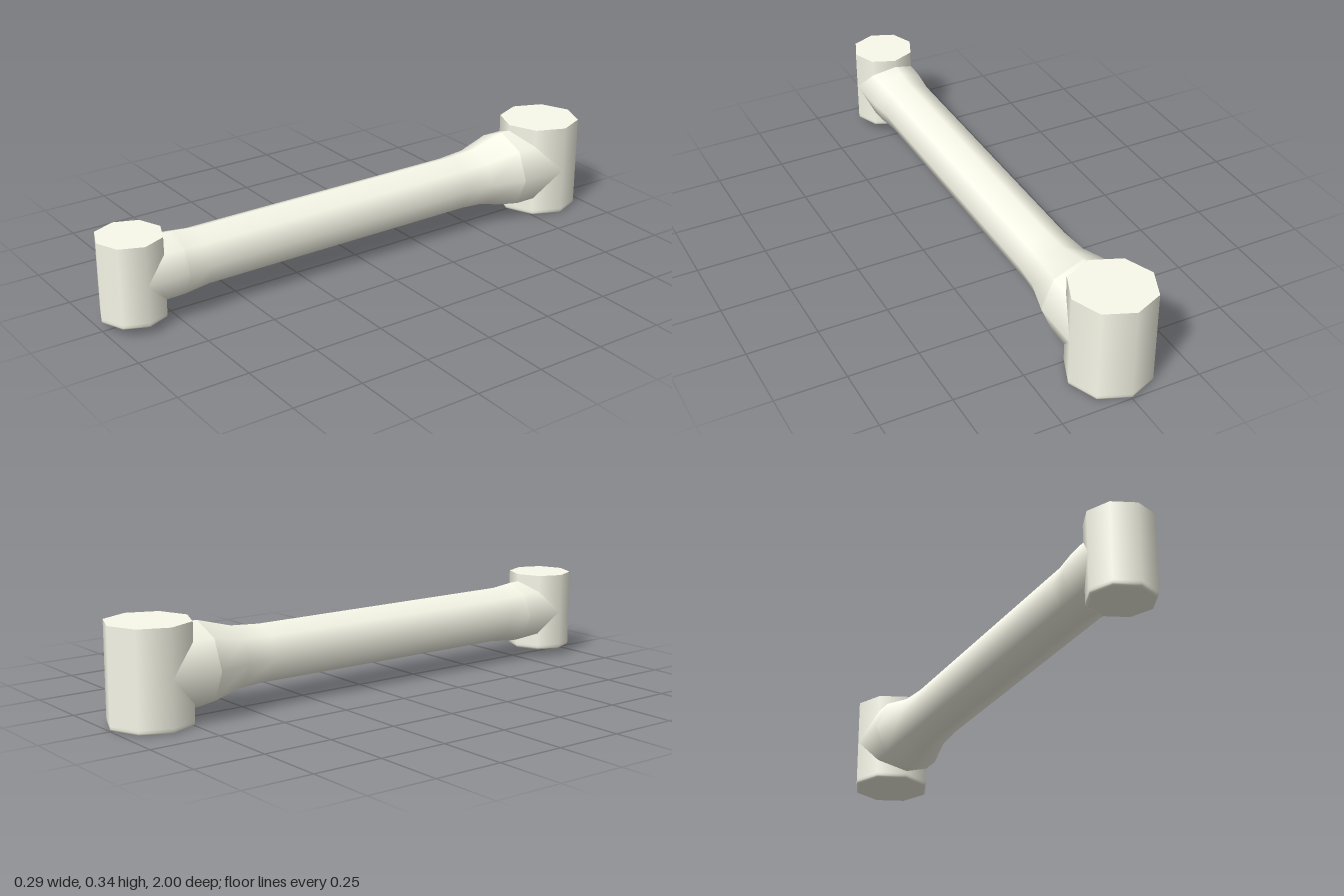
import * as THREE from 'three';

const SIDES = 8;
const AXIS_Y = 0.174;

const material = new THREE.MeshStandardMaterial({ color: 0xfafaeb });

// Eight-sided lathe, smooth around its axis; a repeated point keeps a sharp edge
function turned(name, profile) {
  const points = profile.map(([r, h]) => new THREE.Vector2(r, h));
  const mesh = new THREE.Mesh(new THREE.LatheGeometry(points, SIDES), material);
  mesh.name = name;
  return mesh;
}

// Upright joint housing: flat caps, small rounded lower rim
function jointHousing(name, radius, bottom, top, z) {
  const rim = 0.009;
  const mesh = turned(name, [
    [0, bottom],
    [radius - rim, bottom], [radius - rim, bottom],
    [radius - rim * 0.3, bottom + rim * 0.3],
    [radius, bottom + rim],
    [radius, bottom + rim * 2],
    [radius, top], [radius, top],
    [0, top],
  ]);
  mesh.position.z = z;
  return mesh;
}

// Part turned around the link's long axis, profile given as [radius, z]
function alongLink(name, profile) {
  const mesh = turned(name, profile);
  mesh.rotation.x = Math.PI / 2;
  mesh.position.y = AXIS_Y;
  return mesh;
}

export function createModel() {
  const group = new THREE.Group();
  group.name = 'armLink';

  group.add(
    // Large joint at the back, small joint at the front
    jointHousing('largeJoint', 0.147, 0, 0.343, -0.853),
    jointHousing('smallJoint', 0.115, 0.028, 0.316, 0.885),

    // Straight collars running into the joints
    alongLink('largeCollar', [[0.1465, -0.85], [0.1465, -0.67]]),
    alongLink('smallCollar', [[0.113, 0.73], [0.1145, 0.77], [0.1145, 0.88]]),

    // Connecting tube, flared to meet each collar
    alongLink('linkTube', [
      [0.1465, -0.67],
      [0.111, -0.54],
      [0.103, -0.43],
      [0.103, 0.64],
      [0.113, 0.73],
    ]),
  );

  return group;
}
